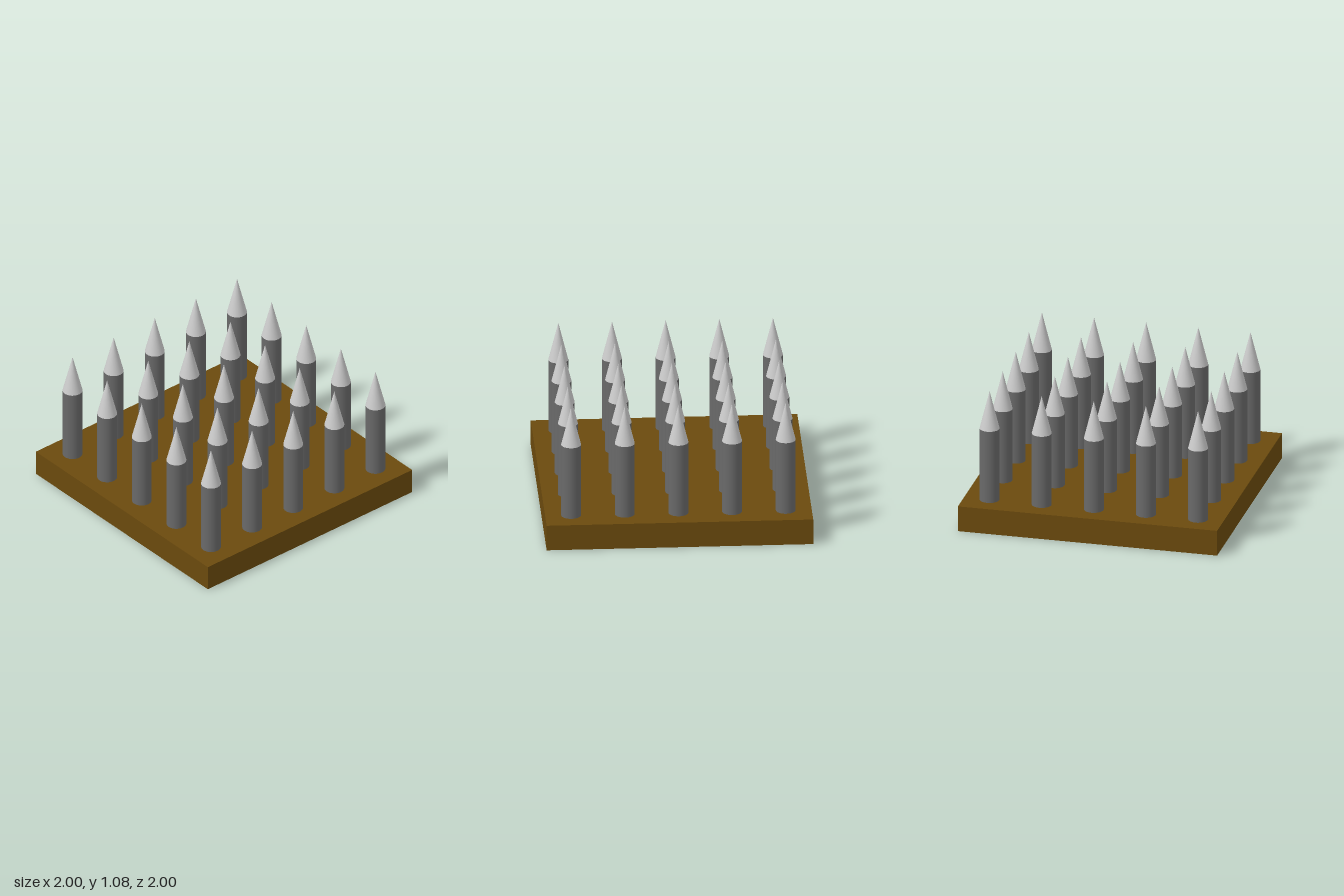
import * as THREE from 'three';

const COUNT = 5, SPACING = 0.4025, RADIUS = 0.075;
const BASE_H = 0.2, SHAFT_H = 0.575, TIP_H = 0.3, SEGMENTS = 32;

export function createModel() {
  const model = new THREE.Group();
  model.name = 'spikeBoard';

  const wood = new THREE.MeshStandardMaterial({ color: 0x6b4a0d });
  const iron = new THREE.MeshStandardMaterial({ color: 0x696969 });
  const steel = new THREE.MeshStandardMaterial({ color: 0xcccccc });

  const addMesh = (parent, name, geometry, material, y) => {
    const mesh = new THREE.Mesh(geometry, material);
    mesh.name = name;
    mesh.position.y = y;
    parent.add(mesh);
  };

  // Wooden base board
  addMesh(model, 'base', new THREE.BoxGeometry(2, BASE_H, 2), wood, BASE_H / 2);

  // Grid of spikes: a round shaft with a pointed tip
  const shaft = new THREE.CylinderGeometry(RADIUS, RADIUS, SHAFT_H, SEGMENTS);
  const tip = new THREE.ConeGeometry(RADIUS, TIP_H, SEGMENTS);
  const middle = (COUNT - 1) / 2;
  for (let row = 0; row < COUNT; row++) {
    for (let col = 0; col < COUNT; col++) {
      const spike = new THREE.Group();
      spike.name = 'spike';
      spike.position.set((col - middle) * SPACING, BASE_H, (row - middle) * SPACING);
      addMesh(spike, 'spikeShaft', shaft, iron, SHAFT_H / 2);
      addMesh(spike, 'spikeTip', tip, steel, SHAFT_H + TIP_H / 2);
      model.add(spike);
    }
  }
  return model;
}
